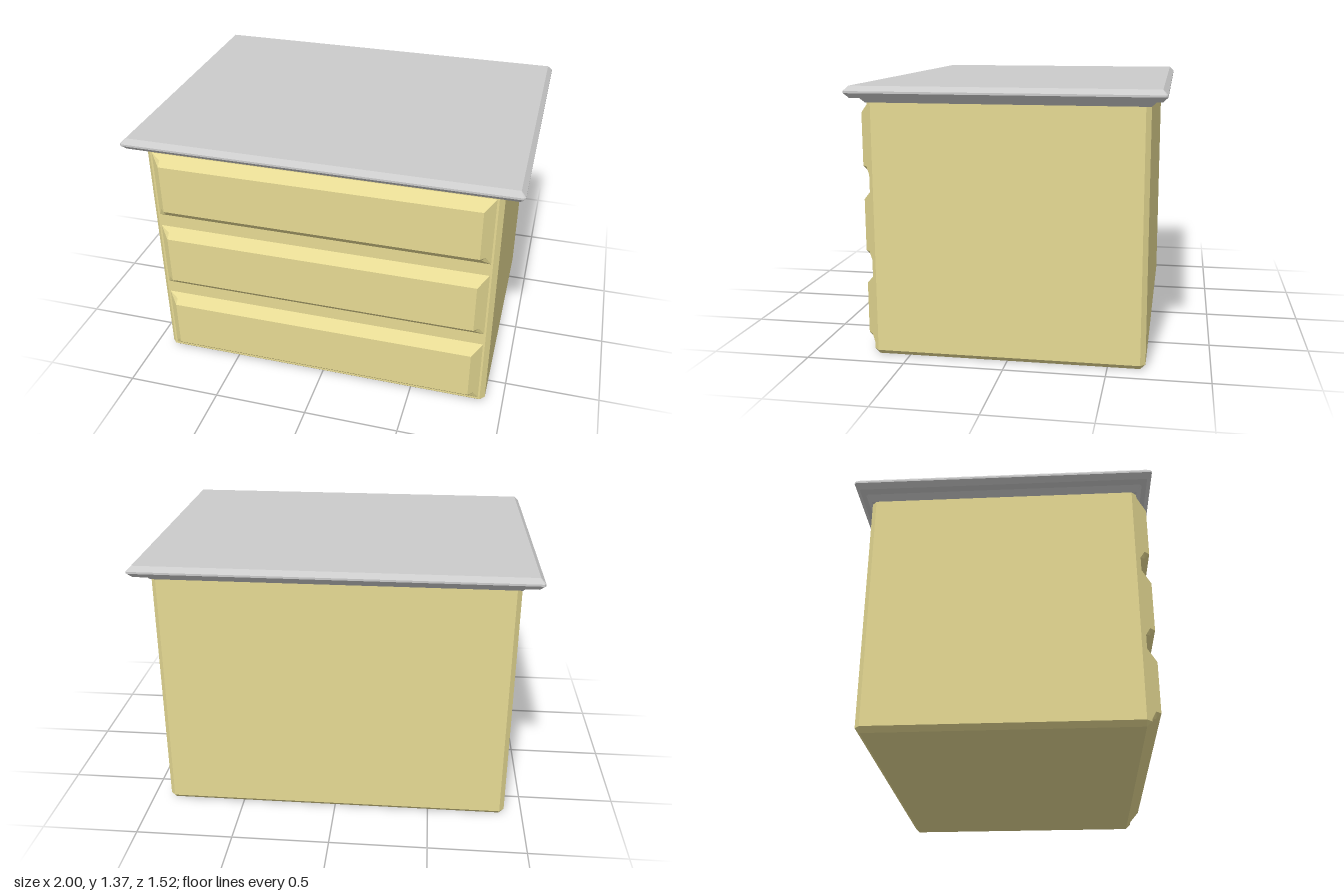
import * as THREE from 'three';

const cream = new THREE.MeshStandardMaterial({ color: 0xe6da93, flatShading: true });
const grey = new THREE.MeshStandardMaterial({ color: 0xcccccc, flatShading: true });

// Flat-shaded geometry from convex polygons, each wound to face along its outward hint
function fromPolygons(polygons) {
  const positions = [];
  const normal = new THREE.Vector3(), edge = new THREE.Vector3();
  for (const { points, out } of polygons) {
    for (let i = 1; i < points.length - 1; i++) {
      let [a, b, c] = [points[0], points[i], points[i + 1]];
      normal.subVectors(b, a).cross(edge.subVectors(c, a));
      if (normal.dot(out) < 0) [b, c] = [c, b];
      for (const p of [a, b, c]) positions.push(p.x, p.y, p.z);
    }
  }
  const geometry = new THREE.BufferGeometry();
  geometry.setAttribute('position', new THREE.Float32BufferAttribute(positions, 3));
  geometry.computeVertexNormals();
  return geometry;
}

const v = (x, y, z) => new THREE.Vector3(x, y, z);

// Box with chamfered edges, lofted through sections [y, half width, half depth, corner cut]
function chamferedSolid(sections) {
  const rings = sections.map(([y, w, d, c]) => [
    v(w, y, d - c), v(w - c, y, d), v(c - w, y, d), v(-w, y, d - c),
    v(-w, y, c - d), v(c - w, y, -d), v(w - c, y, -d), v(w, y, c - d),
  ]);
  const polygons = [
    { points: rings[0], out: v(0, -1, 0) },
    { points: rings[rings.length - 1], out: v(0, 1, 0) },
  ];
  for (let r = 0; r < rings.length - 1; r++) {
    for (let i = 0; i < 8; i++) {
      const j = (i + 1) % 8;
      const out = rings[r][i].clone().add(rings[r][j]).add(rings[r + 1][i]).add(rings[r + 1][j]).setY(0);
      polygons.push({ points: [rings[r][i], rings[r][j], rings[r + 1][j], rings[r + 1][i]], out });
    }
  }
  return fromPolygons(polygons);
}

// Drawer front: raised panel with sloping borders and small notched corners
function drawerFront(w, h, depth) {
  const half = depth / 2;
  const corner = (sx, sy) => ({
    face: v(sx * (w - depth), sy * (h - depth), depth),
    side: v(sx * (w - half), sy * (h - depth), half),
    edge: v(sx * (w - depth), sy * (h - half), half),
    base: v(sx * w, sy * h, 0),
    out: v(sx, sy, 1),
  });
  const [tr, tl, bl, br] = [corner(1, 1), corner(-1, 1), corner(-1, -1), corner(1, -1)];
  const slope = (a, b, key, out) => ({
    points: [a.face, a[key], a.base, b.base, b[key], b.face], out,
  });
  const polygons = [
    { points: [tr.face, tl.face, bl.face, br.face], out: v(0, 0, 1) },
    slope(tr, tl, 'edge', v(0, 1, 1)),
    slope(br, bl, 'edge', v(0, -1, 1)),
    slope(tr, br, 'side', v(1, 0, 1)),
    slope(tl, bl, 'side', v(-1, 0, 1)),
  ];
  for (const c of [tr, tl, bl, br]) {
    polygons.push({ points: [c.face, c.side, c.edge], out: c.out });
    polygons.push({ points: [c.base, c.side, c.edge], out: c.out });
  }
  return fromPolygons(polygons);
}

export function createModel() {
  const group = new THREE.Group();
  const add = (name, geometry, material) => {
    const mesh = new THREE.Mesh(geometry, material);
    mesh.name = name;
    group.add(mesh);
    return mesh;
  };

  // Cabinet body with chamfered base and uprights
  add('cabinetBody', chamferedSolid([
    [0, 0.88, 0.66, 0.001],
    [0.025, 0.905, 0.685, 0.025],
    [1.285, 0.905, 0.685, 0.025],
  ]), cream);

  // Flared moulding under the worktop
  add('topMoulding', chamferedSolid([
    [1.28, 0.905, 0.685, 0.001],
    [1.307, 0.932, 0.712, 0.01],
    [1.32, 0.932, 0.712, 0.01],
  ]), grey);

  // Overhanging top slab
  add('topSlab', chamferedSolid([
    [1.307, 0.976, 0.736, 0.001],
    [1.331, 1, 0.76, 0.008],
    [1.341, 1, 0.76, 0.008],
    [1.365, 0.976, 0.736, 0.001],
  ]), grey);

  // Three drawer fronts
  for (let i = 0; i < 3; i++) {
    const drawer = add(`drawerFront${i + 1}`, drawerFront(0.87, 0.183, 0.051), cream);
    drawer.position.set(0, 0.22 + i * 0.435, 0.685);
  }
  return group;
}
